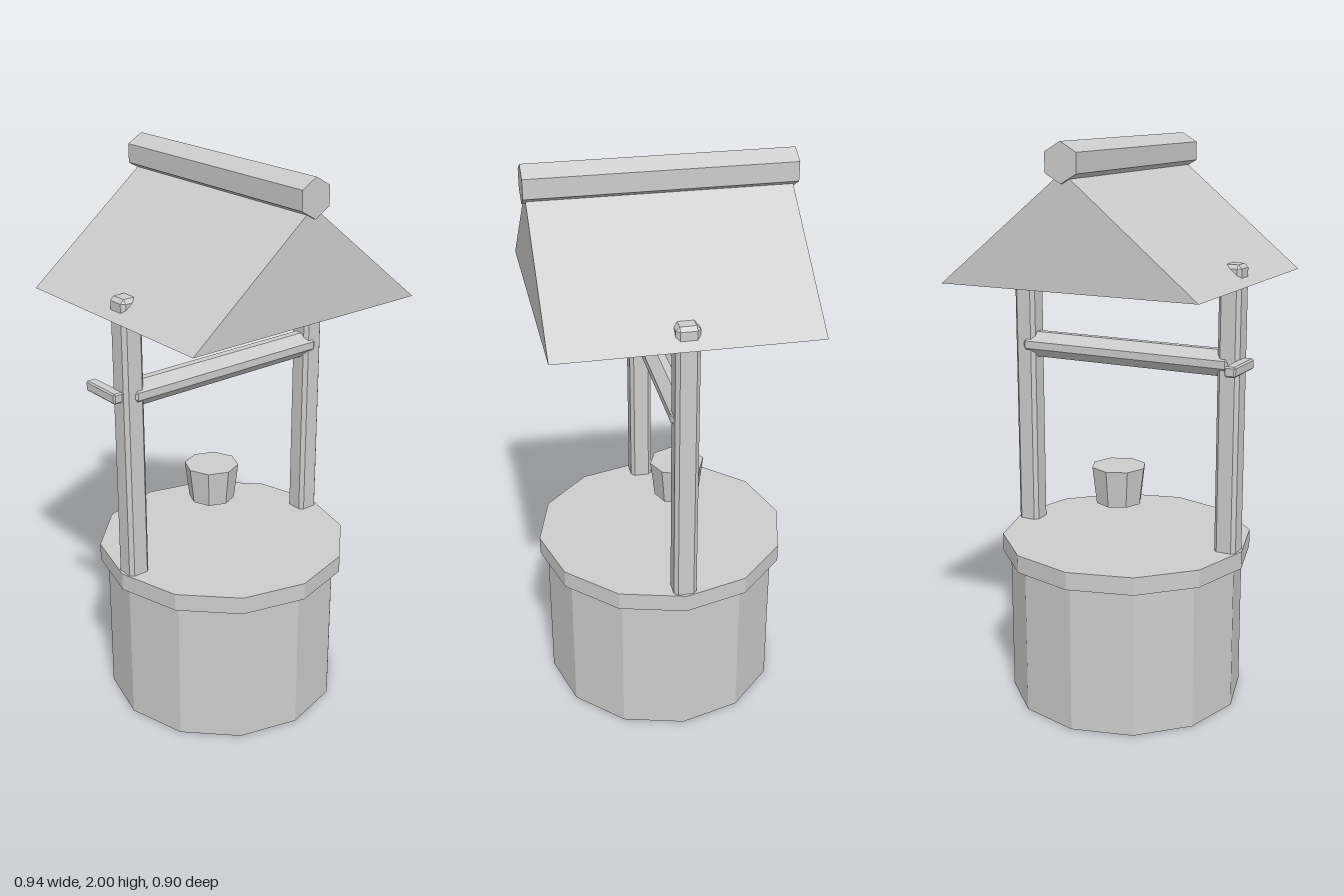
import * as THREE from 'three';
import { ConvexGeometry } from 'three/addons/geometries/ConvexGeometry.js';

// Box with every edge chamfered by c
function chamferBox(w, h, d, c) {
  const points = [];
  for (const sx of [-1, 1]) for (const sy of [-1, 1]) for (const sz of [-1, 1]) {
    const [x, y, z] = [w / 2, h / 2, d / 2];
    points.push(
      new THREE.Vector3(sx * x, sy * (y - c), sz * (z - c)),
      new THREE.Vector3(sx * (x - c), sy * y, sz * (z - c)),
      new THREE.Vector3(sx * (x - c), sy * (y - c), sz * z)
    );
  }
  return new ConvexGeometry(points);
}

// Faceted upright prism standing on y = 0
function prism(rTop, rBottom, height, sides) {
  return new THREE.CylinderGeometry(rTop, rBottom, height, sides)
    .toNonIndexed().translate(0, height / 2, 0);
}

export function createModel() {
  const model = new THREE.Group();
  model.name = 'well';
  const grey = new THREE.MeshStandardMaterial({ color: 0xcccccc });
  grey.name = 'grey';
  grey.flatShading = true;

  const add = (name, geometry, x = 0, y = 0, z = 0) => {
    const mesh = new THREE.Mesh(geometry, grey);
    mesh.name = name;
    mesh.position.set(x, y, z);
    model.add(mesh);
    return mesh;
  };

  // Round wall with a wider cap
  add('wall', prism(0.422, 0.422, 0.53, 12));
  add('wallCap', prism(0.45, 0.45, 0.063, 12), 0, 0.53);

  // Posts, tips poking through the roof
  for (const side of [-1, 1]) {
    add(side > 0 ? 'leftPost' : 'rightPost',
      chamferBox(0.08, 1.05, 0.08, 0.013), side * 0.398, 1.072);
  }

  // Axle set on its corner, with a crank handle
  add('axle', chamferBox(0.82, 0.084, 0.084, 0.019), 0, 1.26).rotation.x = Math.PI / 4;
  add('crankHandle', chamferBox(0.04, 0.036, 0.165, 0.005), -0.45, 1.262, -0.0625);

  // Bucket
  add('bucket', prism(0.098, 0.082, 0.133, 8), 0, 0.73, -0.062);

  // Gabled roof
  const gable = new THREE.Shape([
    new THREE.Vector2(-0.467, 1.53),
    new THREE.Vector2(0.467, 1.53),
    new THREE.Vector2(0, 1.907)
  ]);
  add('roof', new THREE.ExtrudeGeometry(gable, { depth: 0.874, bevelEnabled: false }), 0, 0, -0.437);

  // Six-sided ridge beam
  const ridge = new THREE.CylinderGeometry(0.065, 0.065, 0.895, 6).toNonIndexed().rotateX(Math.PI / 2);
  add('ridgeBeam', ridge, 0, 1.935, 0);

  return model;
}
